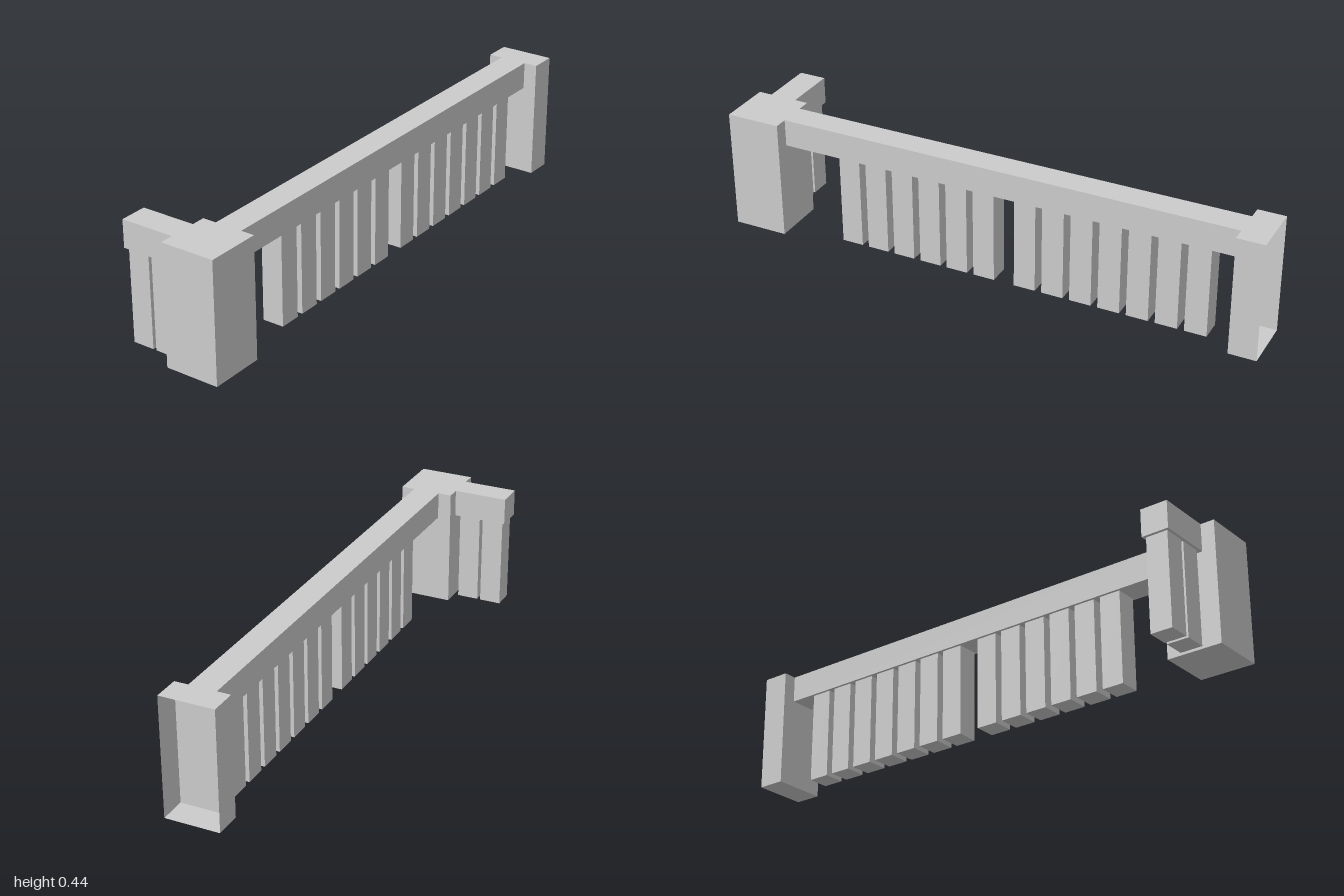
import * as THREE from 'three';

const material = new THREE.MeshStandardMaterial({ color: 0xcccccc, flatShading: true });
const openMaterial = new THREE.MeshStandardMaterial({ color: 0xcccccc, flatShading: true, side: THREE.DoubleSide });

const TOP = 0.44, RAIL_BOTTOM = 0.34, SLAT = 0.08, PITCH = 0.105;

// Box given by its minimum and maximum corners
function block(name, [x0, y0, z0], [x1, y1, z1]) {
  const mesh = new THREE.Mesh(new THREE.BoxGeometry(x1 - x0, y1 - y0, z1 - z0), material);
  mesh.position.set((x0 + x1) / 2, (y0 + y1) / 2, (z0 + z1) / 2);
  mesh.name = name;
  return mesh;
}

// Square slat hanging from a rail down to the ground
function slat(name, x, z) {
  const h = SLAT / 2;
  return block(name, [x - h, 0, z - h], [x + h, RAIL_BOTTOM, z + h]);
}

export function createModel() {
  const model = new THREE.Group();
  model.name = 'slattedFence';

  // Corner post and the two rails that meet it
  model.add(block('cornerPost', [-1, 0, 0], [-0.8, TOP, 0.2]));
  model.add(block('longRail', [-0.8, RAIL_BOTTOM, 0.05], [0.9, TOP, 0.15]));
  model.add(block('shortRail', [-0.95, RAIL_BOTTOM, -0.2], [-0.85, TOP, 0]));

  // Half post at the far end, open on its outer side
  const endPost = block('endPost', [0.9, 0, 0], [1, TOP, 0.2]);
  const index = Array.from(endPost.geometry.index.array);
  endPost.geometry.setIndex(index.slice(6)); // drop the +x face
  endPost.geometry.clearGroups();
  endPost.material = openMaterial;
  model.add(endPost);

  // Long rail slats in two runs with a wider gap between them
  const longSlats = new THREE.Group();
  longSlats.name = 'longRailSlats';
  for (const [start, count] of [[-0.548, 6], [0.134, 7]]) {
    for (let i = 0; i < count; i++) longSlats.add(slat('slat', start + i * PITCH, 0.1));
  }
  model.add(longSlats);

  // Short rail slats
  const shortSlats = new THREE.Group();
  shortSlats.name = 'shortRailSlats';
  for (const z of [-0.057, -0.149]) shortSlats.add(slat('slat', -0.9, z));
  model.add(shortSlats);

  return model;
}
